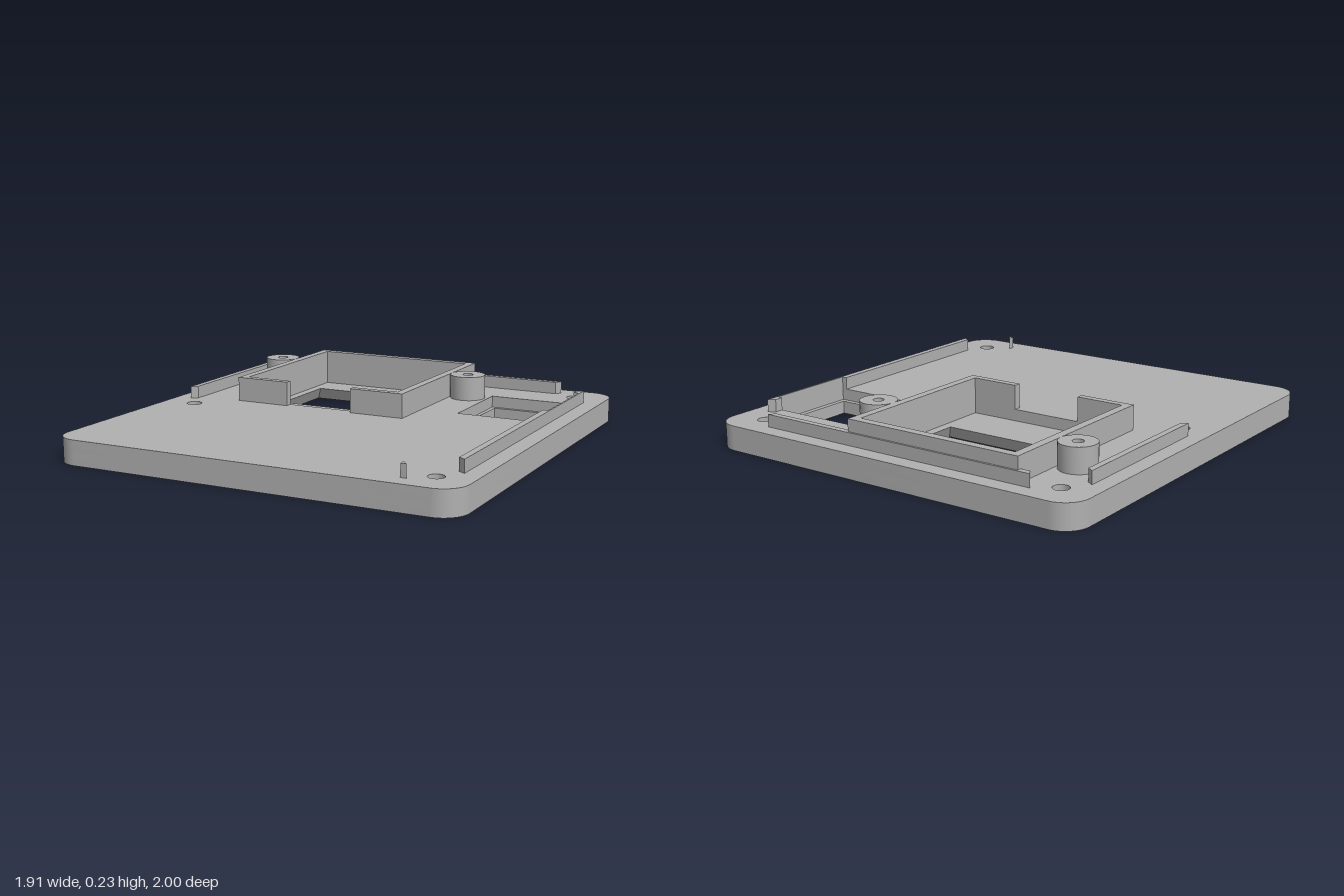
import * as THREE from 'three';
import { toCreasedNormals } from 'three/addons/utils/BufferGeometryUtils.js';

const FLOOR = 0.06;   // floor of the recesses
const TOP = 0.115;    // top of the base plate
const RAIL = 0.173;   // top of the low rails
const FRAME = 0.23;   // top of the frame and posts

// Plan outlines are given as x, z pairs and extruded upwards
const outline = (pts) => pts.map(([x, z]) => new THREE.Vector2(x, -z));
const rect = (x0, x1, z0, z1) => outline([[x0, z0], [x1, z0], [x1, z1], [x0, z1]]);
const circlePath = (x, z, r) => new THREE.Path().absarc(x, -z, r, 0, Math.PI * 2, true);

function extrude(shape, y0, y1) {
  const g = new THREE.ExtrudeGeometry(shape, { depth: y1 - y0, bevelEnabled: false, curveSegments: 16 });
  g.rotateX(-Math.PI / 2);
  g.translate(0, y0, 0);
  return g;
}

function plateShape(windows) {
  const w = 0.957, h = 1, r = 0.115;
  const s = new THREE.Shape();
  s.absarc(w - r, h - r, r, 0, Math.PI / 2);
  s.absarc(-w + r, h - r, r, Math.PI / 2, Math.PI);
  s.absarc(-w + r, -h + r, r, Math.PI, Math.PI * 1.5);
  s.absarc(w - r, -h + r, r, Math.PI * 1.5, Math.PI * 2);
  s.closePath();
  for (const [x, z] of [[-0.8, -0.845], [0.795, -0.845], [-0.8, 0.12], [0.795, 0.835]])
    s.holes.push(circlePath(x, z, 0.036));
  for (const win of windows) s.holes.push(new THREE.Path(rect(...win)));
  return s;
}

export function createModel() {
  const model = new THREE.Group();
  model.name = 'enclosureCover';
  const grey = new THREE.MeshStandardMaterial({ color: 0xb0b0b0 });
  grey.name = 'grey plastic';

  const add = (name, geometry) => {
    const m = new THREE.Mesh(toCreasedNormals(geometry, 0.5), grey);
    m.name = name;
    model.add(m);
  };
  const addPrism = (name, pts, y0, y1) => add(name, extrude(new THREE.Shape(outline(pts)), y0, y1));

  // Lower plate layer; the display window flares outwards at the underside
  const win = [-0.555, 0.155, -0.71, -0.315];
  const lower = extrude(plateShape([win, [0.445, 0.842, -0.67, -0.275]]), 0, FLOOR);
  const pos = lower.attributes.position;
  const near = (a, b) => Math.abs(a - b) < 1e-4;
  for (let i = 0; i < pos.count; i++) {
    const x = pos.getX(i), z = pos.getZ(i);
    if (pos.getY(i) > 0.01) continue;
    if (!(near(x, win[0]) || near(x, win[1])) || !(near(z, win[2]) || near(z, win[3]))) continue;
    pos.setX(i, x + (near(x, win[0]) ? -0.03 : 0.03));
    pos.setZ(i, z + (near(z, win[2]) ? -0.03 : 0.03));
  }
  add('lowerPlate', lower);

  // Upper plate layer with the wider recesses
  add('upperPlate', extrude(plateShape([[-0.6, 0.2, -0.87, -0.065], [0.425, 0.867, -0.69, -0.25]]), FLOOR, TOP));

  // Raised display frame, open in the middle of its front wall
  addPrism('displayFrame', [
    [-0.37, -0.03], [-0.64, -0.03], [-0.64, -0.91], [0.24, -0.91], [0.24, -0.03], [-0.03, -0.03],
    [-0.03, -0.065], [0.2, -0.065], [0.2, -0.87], [-0.6, -0.87], [-0.6, -0.065], [-0.37, -0.065],
  ], TOP, FRAME);

  // Screw posts joined to both sides of the frame
  for (const [x, side] of [[-0.725, 1], [0.325, -1]]) {
    const s = new THREE.Shape().absarc(x, 0.61, 0.085, 0, Math.PI * 2);
    s.holes.push(circlePath(x, -0.61, 0.025));
    add('screwPost', extrude(s, TOP, FRAME));
    const web = new THREE.BoxGeometry(0.03, FRAME - TOP - 0.001, 0.045);
    web.translate(x + side * 0.08, (TOP + FRAME) / 2 - 0.0005, -0.61);
    add('postWeb', web);
  }

  // Low rails with mitred ends
  addPrism('backRail', [[-0.705, -0.92], [0.703, -0.92], [0.683, -0.89], [-0.685, -0.89]], TOP, RAIL);
  addPrism('rightRail', [[-0.88, -0.75], [-0.88, 0.03], [-0.85, 0.01], [-0.85, -0.73]], TOP, RAIL);
  // The left rail is thinned where it passes the square recess
  addPrism('leftRail', [
    [0.875, -0.75], [0.875, 0.745], [0.843, 0.725], [0.843, -0.25],
    [0.867, -0.25], [0.867, -0.69], [0.843, -0.69], [0.843, -0.73],
  ], TOP, RAIL);

  // Small triangular peg near the front corner
  addPrism('cornerPeg', [[0.677, 0.882], [0.703, 0.915], [0.677, 0.915]], TOP, RAIL);

  return model;
}
